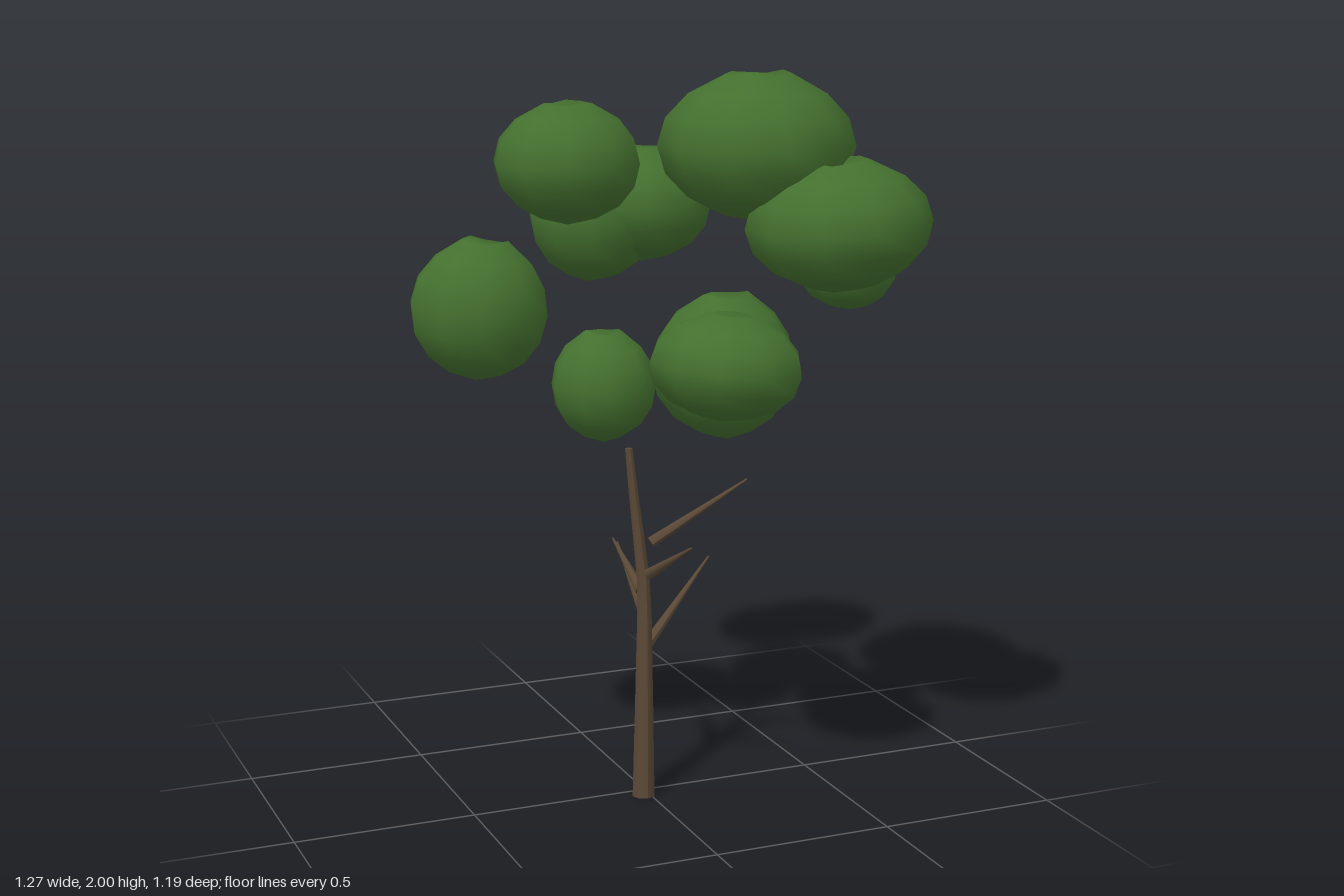
import * as THREE from 'three';
import { mergeVertices } from 'three/addons/utils/BufferGeometryUtils.js';

const bark = new THREE.MeshStandardMaterial({ color: 0x5a4836, side: THREE.DoubleSide });
const leaf = new THREE.MeshStandardMaterial({ color: 0x44702f, side: THREE.DoubleSide });

// Seam-free smooth copy of a geometry
function smooth(geometry) {
  geometry.deleteAttribute('uv');
  geometry.deleteAttribute('normal');
  const g = mergeVertices(geometry, 1e-4);
  g.computeVertexNormals();
  return g;
}

// Foliage clump: faceted sphere with uneven rings, a dimpled crown and a small tip below
function clump([x, y, z, radius, half, dent, tilt], index) {
  const g = smooth(new THREE.SphereGeometry(1, 10, 8));
  const p = g.attributes.position;
  const v = new THREE.Vector3();
  for (let i = 0; i < p.count; i++) {
    v.fromBufferAttribute(p, i);
    const wobble = 1 + 0.035 * Math.sin(v.x * 3 + index * 1.7) * Math.cos(v.z * 4 - index);
    const ring = Math.hypot(v.x, v.z);
    if (ring < 0.01) {
      v.y = v.y > 0 ? 1 - dent : -1.04;
      v.x = 0.08 * Math.sin(index * 2.1);
    } else if (ring < 0.5 && v.y > 0) {
      v.y += 0.06 + 0.03 * Math.sin(index + v.x * 9);
      v.x *= 0.85;
      v.z *= 0.85;
    }
    p.setXYZ(i, v.x * wobble * radius, v.y * half, v.z * wobble * radius);
  }
  g.computeVertexNormals();
  const mesh = new THREE.Mesh(g, leaf);
  mesh.name = `foliageClump${index + 1}`;
  mesh.position.set(x, y, z);
  mesh.rotation.set(0, index * 0.7, 0);
  mesh.rotateOnWorldAxis(new THREE.Vector3(0, 0, 1), tilt);
  return mesh;
}

// Tapered limb whose rings follow a curve through the given points
function limb(name, points, r0, r1, steps) {
  const curve = new THREE.CatmullRomCurve3(points.map((q) => new THREE.Vector3(...q)));
  const g = new THREE.CylinderGeometry(r1, r0, 1, 8, steps);
  const p = g.attributes.position;
  const up = new THREE.Vector3(0, 1, 0);
  const turn = new THREE.Quaternion();
  const v = new THREE.Vector3();
  for (let i = 0; i < p.count; i++) {
    v.fromBufferAttribute(p, i);
    const t = THREE.MathUtils.clamp(v.y + 0.5, 0, 1);
    v.y = 0;
    if (name !== 'trunk') v.applyQuaternion(turn.setFromUnitVectors(up, curve.getTangentAt(t)));
    v.add(curve.getPointAt(t));
    p.setXYZ(i, v.x, v.y, v.z);
  }
  g.computeVertexNormals();
  const mesh = new THREE.Mesh(g, bark);
  mesh.name = name;
  return mesh;
}

export function createModel() {
  const tree = new THREE.Group();
  tree.name = 'tree';

  // Trunk, leaning slightly near the top
  tree.add(limb('trunk', [
    [-0.017, 0, 0.036], [-0.014, 0.35, 0.033], [-0.015, 0.62, 0.03], [-0.035, 0.8, 0.026], [-0.055, 0.99, 0.023],
  ], 0.033, 0.011, 8));

  // Bare side branches: base, tip
  const branches = [
    [[0.005, 0.44, 0.025], [0.25, 0.617, -0.13]],
    [[0.005, 0.725, 0.035], [0.27, 0.888, 0.08]],
    [[-0.01, 0.645, 0.06], [0.03, 0.76, 0.25]],
    [[-0.015, 0.585, 0.01], [-0.02, 0.685, -0.185]],
    [[-0.005, 0.515, 0.01], [0.003, 0.665, -0.21]],
  ];
  branches.forEach((ends, i) => tree.add(limb(`branch${i + 1}`, ends, 0.016, 0.003, 1)));

  // Foliage: x, y, z, radius, half height, crown dent, tilt
  const clumps = [
    [-0.265, 1.775, 0.13, 0.193, 0.152, 0.25, 0],
    [-0.45, 1.385, -0.04, 0.186, 0.183, 0.1, -0.1],
    [-0.1, 1.155, -0.05, 0.144, 0.15, 0.15, 0],
    [0.24, 1.805, 0.185, 0.255, 0.19, 0.2, 0],
    [0.395, 1.61, 0.355, 0.242, 0.168, 0.2, 0.05],
    [0.49, 1.49, 0.23, 0.137, 0.12, 0.1, 0],
    [0.075, 1.265, 0.37, 0.198, 0.136, 0.2, -0.1],
    [0.17, 1.225, 0.145, 0.194, 0.192, 0.1, 0],
    [0.01, 1.565, -0.41, 0.186, 0.178, 0.25, 0],
    [0.15, 1.6, -0.39, 0.207, 0.16, 0.25, 0],
  ];
  clumps.forEach((c, i) => tree.add(clump(c, i)));
  return tree;
}
